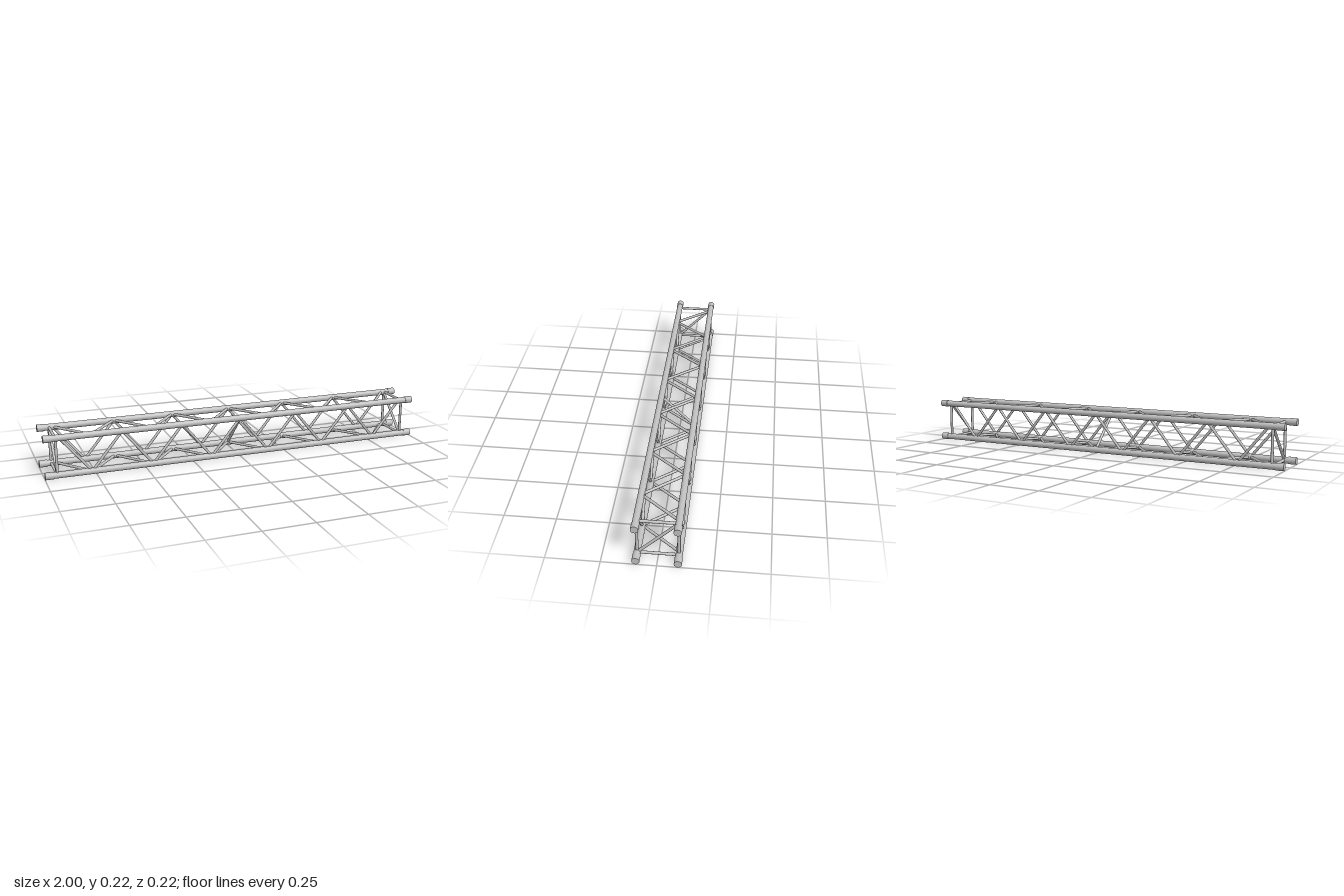
import * as THREE from 'three';

const H = 0.0935;      // half spacing of the chords
const MID = 0.1115;    // height of the truss axis
const END = 0.94;      // position of the end frames

export function createModel() {
  const truss = new THREE.Group();
  truss.name = 'boxTruss';
  const aluminium = new THREE.MeshStandardMaterial({ color: 0xc0c0c0 });
  aluminium.name = 'aluminium';

  // Round tube between two points given as [x, y, z] relative to the axis
  function tube(name, a, b, radius, sides = 16) {
    const p = new THREE.Vector3(...a), q = new THREE.Vector3(...b);
    const dir = q.clone().sub(p);
    const mesh = new THREE.Mesh(new THREE.CylinderGeometry(radius, radius, dir.length(), sides), aluminium);
    mesh.name = name;
    mesh.position.copy(p).add(q).multiplyScalar(0.5);
    mesh.position.y += MID;
    mesh.quaternion.setFromUnitVectors(new THREE.Vector3(0, 1, 0), dir.normalize());
    truss.add(mesh);
  }

  // Four main chords with a thicker sleeve at each end
  for (const y of [-H, H]) for (const z of [-H, H]) {
    tube('chord', [-0.99, y, z], [0.99, y, z], 0.016, 24);
    for (const s of [-1, 1]) tube('endSleeve', [s * 0.96, y, z], [s, y, z], 0.018, 24);
  }

  // Zigzag lacing on all four faces
  const count = 12, pitch = 1.846 / count;
  for (let i = 0; i < count; i++) {
    const x0 = -0.923 + i * pitch, x1 = x0 + pitch;
    const e = i % 2 ? -H : H;
    for (const side of [-H, H]) {
      tube('sideLacing', [x0, e, side], [x1, -e, side], 0.007, 12);
      tube('flatLacing', [x0, side, -e], [x1, side, e], 0.007, 12);
    }
  }

  // Square end frames, each with one diagonal
  for (const x of [-END, END]) {
    for (const s of [-H, H]) {
      tube('endPost', [x, -H, s], [x, H, s], 0.007);
      tube('endCrossbar', [x, s, -H], [x, s, H], 0.007);
    }
    tube('endDiagonal', [x, -H, H], [x, H, -H], 0.007);
  }

  // Opposite diagonal at mid-span
  tube('middleDiagonal', [0, H, H], [0, -H, -H], 0.007);

  return truss;
}
